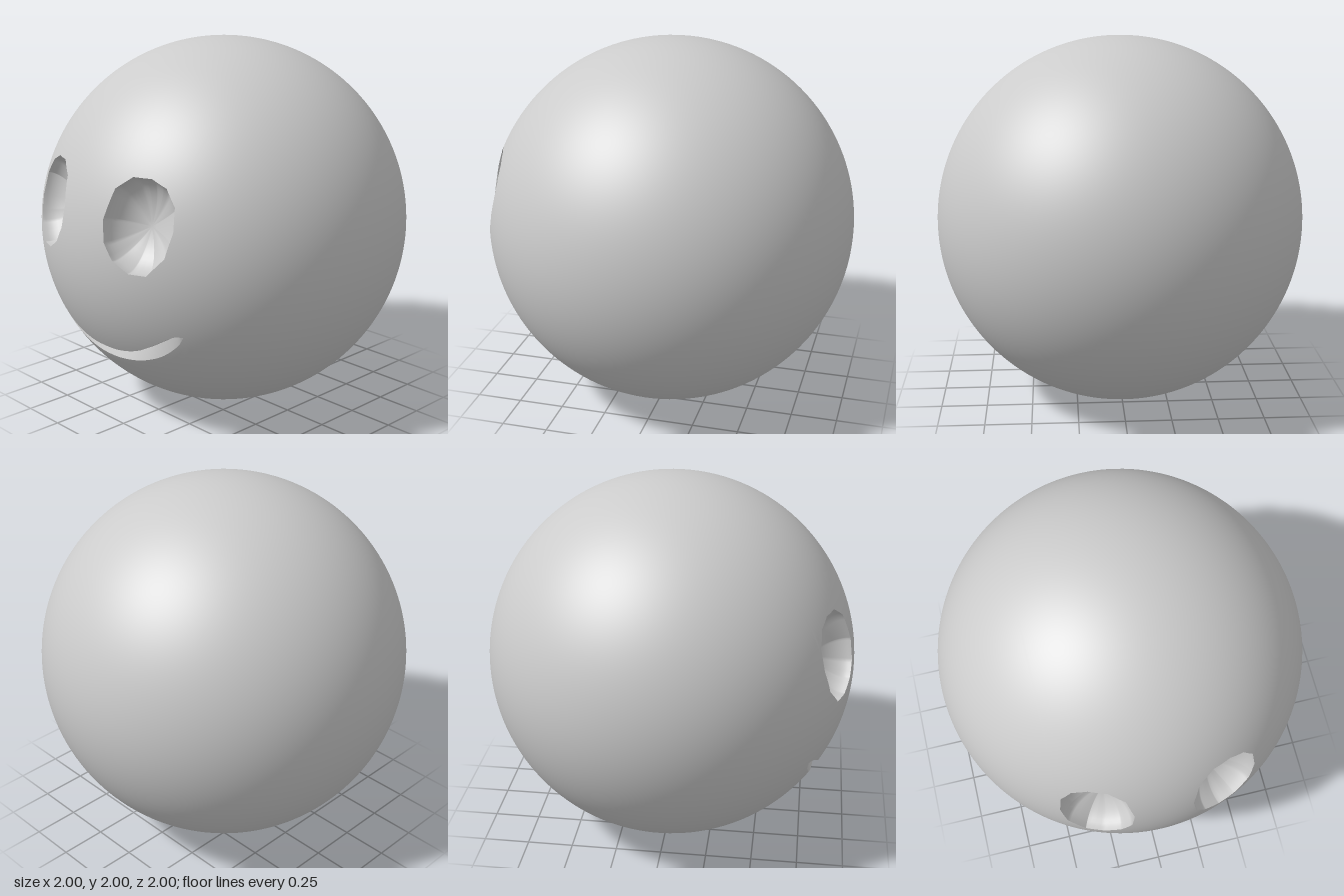
import * as THREE from 'three';
import { mergeVertices } from 'three/addons/utils/BufferGeometryUtils.js';

const EDGE = 0.517; // outermost x of both the eyes and the mouth
const EYE_IN = 0.155; // innermost x of an eye
const EYE_DEPTH = 0.14;
const MOUTH_BACK = 0.785; // z of the back of the mouth groove

// Outlines as [x, y], for x >= 0 and mirrored
const eyeTop = [[EYE_IN, 1.21], [0.19, 1.36], [0.27, 1.422], [0.365, 1.422], [0.445, 1.385], [0.502, 1.305], [EDGE, 1.187]];
const eyeBottom = [[EYE_IN, 1.21], [0.17, 1.1], [0.225, 1.016], [0.315, 0.963], [0.405, 0.963], [0.49, 1.06], [EDGE, 1.187]];
const lipTop = smooth([[0, 0.476], [0.123, 0.483], [0.256, 0.52], [0.4, 0.6], [0.47, 0.64], [EDGE, 0.645]]);
const lipBottom = smooth([[0, 0.415], [0.1, 0.421], [0.23, 0.447], [0.364, 0.503], [0.47, 0.583], [EDGE, 0.645]]);

// Smooth a mirrored outline and keep its positive half
function smooth(points) {
  const mirrored = points.slice(1).reverse().map(([x, y]) => [-x, y]);
  const curve = new THREE.SplineCurve([...mirrored, ...points].map(([x, y]) => new THREE.Vector2(x, y)));
  return curve.getPoints(200).slice(100).map((p) => [p.x, p.y]);
}

// Height of an outline at x, held constant beyond its ends
function heightAt(outline, x) {
  const ax = Math.abs(x);
  if (ax <= outline[0][0]) return outline[0][1];
  for (let i = 1; i < outline.length; i++) {
    const [x0, y0] = outline[i - 1];
    const [x1, y1] = outline[i];
    if (ax <= x1) return y0 + ((y1 - y0) * (ax - x0)) / (x1 - x0);
  }
  return outline[outline.length - 1][1];
}

// Angle around the x axis at which an outline crosses the column at x
function angleAt(outline, x) {
  const cx = Math.min(Math.abs(x), EDGE);
  return Math.asin((heightAt(outline, x) - 1) / Math.sqrt(1 - cx * cx));
}

function onBall(x, angle) {
  const r = Math.sqrt(Math.max(0, 1 - x * x));
  return new THREE.Vector3(x, 1 + r * Math.sin(angle), r * Math.cos(angle));
}

// Surface through a list of columns of points
function grid(columns) {
  const rows = columns[0].length;
  const index = [];
  for (let i = 0; i < columns.length - 1; i++) {
    for (let j = 0; j < rows - 1; j++) {
      const a = i * rows + j;
      const b = a + rows;
      index.push(a, b, b + 1, a, b + 1, a + 1);
    }
  }
  const geometry = new THREE.BufferGeometry().setFromPoints(columns.flat());
  geometry.setIndex(index);
  return geometry;
}

export function createModel() {
  const model = new THREE.Group();
  model.name = 'smilingBall';
  const material = new THREE.MeshStandardMaterial({ color: 0xcccccc });
  const add = (name, geometry) => {
    const mesh = new THREE.Mesh(geometry, material);
    mesh.name = name;
    model.add(mesh);
  };

  // Column positions: even steps plus every corner of the eyes
  const xs = [];
  for (let i = -60; i <= 60; i++) xs.push(Math.sin((i * Math.PI) / 120));
  for (const [x] of [...eyeTop, ...eyeBottom]) xs.push(x, -x);
  const columnsX = [...new Set(xs)].sort((a, b) => a - b);

  // Ball skin, in bands that leave the eyes and the mouth open
  const skin = (name, from, to, turn, steps) => {
    const geometry = grid(columnsX.map((x) => {
      const a = angleAt(from, x);
      const b = angleAt(to, x) + turn;
      return Array.from({ length: steps + 1 }, (_, j) => onBall(x, a + ((b - a) * j) / steps));
    }));
    const normals = geometry.attributes.position.clone();
    for (let i = 0; i < normals.count; i++) normals.setY(i, normals.getY(i) - 1);
    geometry.setAttribute('normal', normals);
    add(name, geometry);
  };
  skin('ballBetweenMouthAndEyes', lipTop, eyeBottom, 0, 20);
  skin('ballAroundBack', eyeTop, lipBottom, 2 * Math.PI, 110);

  // Eye sockets: rounded bowls sunk from the rim
  for (const side of [1, -1]) {
    const eyeX = columnsX.filter((x) => side * x >= EYE_IN && side * x <= EDGE);
    const rim = [
      ...eyeX.map((x) => onBall(x, angleAt(eyeBottom, x))),
      ...eyeX.slice(1, -1).reverse().map((x) => onBall(x, angleAt(eyeTop, x))),
    ];
    rim.push(rim[0]);
    const outward = new THREE.Vector3(side * 0.336, 0.19, 0.92).normalize();
    const centre = outward.clone().multiplyScalar(0.965).add(new THREE.Vector3(0, 1, 0));
    const bowl = grid(rim.map((p) => Array.from({ length: 13 }, (_, j) => {
      const t = (j / 12) * (Math.PI / 2);
      const scale = j === 12 ? 0 : Math.cos(t);
      return centre.clone().lerp(p, scale).addScaledVector(outward, -EYE_DEPTH * Math.sin(t));
    })));
    const geometry = mergeVertices(bowl);
    geometry.computeVertexNormals();
    add(side > 0 ? 'leftEyeSocket' : 'rightEyeSocket', geometry);
  }

  // Mouth groove: a level roof and a floor sloping back to it
  const mouthX = columnsX.filter((x) => Math.abs(x) <= EDGE);
  const roof = [];
  const floor = [];
  for (const x of mouthX) {
    const top = onBall(x, angleAt(lipTop, x));
    const back = top.clone().setZ(Math.min(top.z, MOUTH_BACK));
    roof.push([back, top]);
    floor.push([onBall(x, angleAt(lipBottom, x)), back]);
  }
  for (const [name, columns] of [['mouthRoof', roof], ['mouthFloor', floor]]) {
    const geometry = grid(columns);
    geometry.computeVertexNormals();
    add(name, geometry);
  }
  return model;
}
